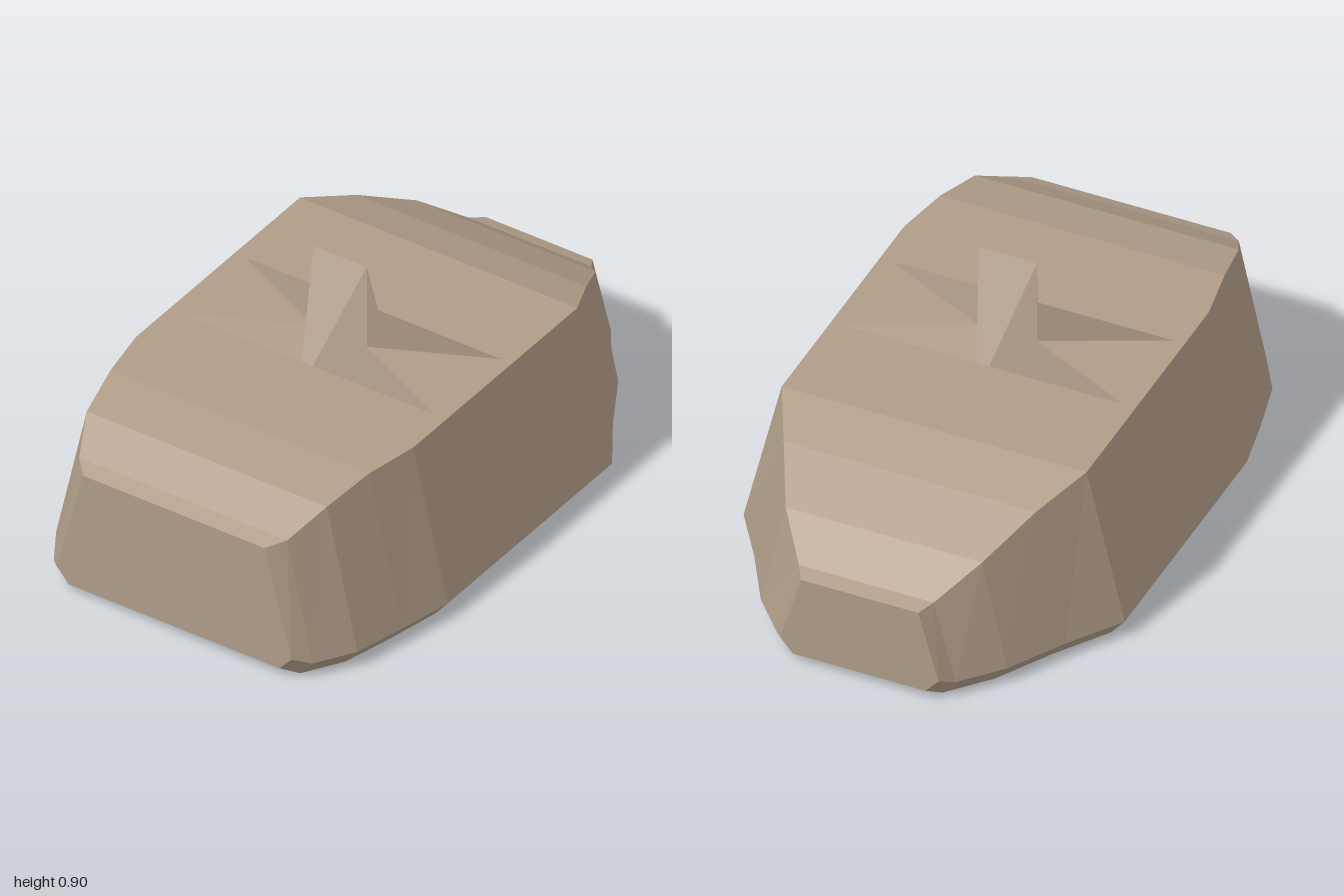
import * as THREE from 'three';

const material = new THREE.MeshStandardMaterial({
  color: 0xb09c88, flatShading: true, side: THREE.DoubleSide,
});
const smoothMaterial = new THREE.MeshStandardMaterial({ color: 0xb09c88, side: THREE.DoubleSide });

// Hull cross-sections, front to back: z, deck half width, deck height, rim half width
const STATIONS = [
  [1, 0.34, 0.465, 0.44],
  [0.95, 0.39, 0.485, 0.485],
  [0.82, 0.45, 0.56, 0.565],
  [0.64, 0.485, 0.595, 0.61],
  [0.45, 0.52, 0.595, 0.65],
  [-0.45, 0.52, 0.595, 0.65],
  [-0.63, 0.43, 0.535, 0.53],
  [-0.82, 0.335, 0.44, 0.42],
  [-0.95, 0.23, 0.34, 0.305],
  [-1, 0.2, 0.325, 0.27],
];

function createHull() {
  const positions = [], index = [];
  for (const [z, deckX, deckY, rimX] of STATIONS) {
    const lift = Math.abs(z) === 1 ? 0.03 : 0; // chamfered lower edge at both ends
    const baseX = rimX - 0.045, rimY = 0.055 + lift * 0.85;
    const side = [[baseX, lift], [rimX, rimY], [deckX, deckY]];
    const ring = [...side, ...side.map(([x, y]) => [-x, y]).reverse()];
    ring.forEach(([x, y]) => positions.push(x, y, z));
  }
  // Skin between neighbouring sections
  for (let i = 0; i < STATIONS.length - 1; i++) {
    for (let k = 0; k < 6; k++) {
      const a = i * 6 + k, b = i * 6 + (k + 1) % 6;
      index.push(a, a + 6, b + 6, a, b + 6, b);
    }
  }
  // End caps
  const last = (STATIONS.length - 1) * 6;
  for (let k = 1; k < 5; k++) {
    index.push(0, k, k + 1, last, last + k + 1, last + k);
  }
  const geometry = new THREE.BufferGeometry();
  geometry.setAttribute('position', new THREE.Float32BufferAttribute(positions, 3));
  geometry.setIndex(index);
  geometry.computeVertexNormals();
  const mesh = new THREE.Mesh(geometry, material);
  mesh.name = 'hull';
  return mesh;
}

// A four-cornered panel split along b-d, lit with one average normal
function createPanel(name, a, b, c, d) {
  const normal = c.clone().sub(a).cross(d.clone().sub(b)).normalize();
  const flip = normal.y < 0;
  if (flip) normal.negate();
  const corners = [a, b, c, d];
  const geometry = new THREE.BufferGeometry().setFromPoints(corners);
  geometry.setAttribute('normal', new THREE.Float32BufferAttribute(
    corners.flatMap(() => normal.toArray()), 3));
  geometry.setIndex(flip ? [a, b, c, d] && [0, 3, 1, 1, 3, 2] : [0, 1, 3, 1, 2, 3]);
  const mesh = new THREE.Mesh(geometry, smoothMaterial);
  mesh.name = name;
  return mesh;
}

// Ridge that narrows downwards, with four flat pointed arms on the deck
function createFin() {
  const fin = new THREE.Group();
  fin.name = 'fin';
  const deck = 0.002, height = 0.305, halfDepth = 0.18;
  for (const sz of [1, -1]) {
    const P = (x, y, z) => new THREE.Vector3(x, y, z * sz);
    const face = [P(-0.1, height, 0), P(-0.02, deck, halfDepth),
      P(0.02, deck, halfDepth), P(0.1, height, 0)];
    if (sz < 0) face.reverse();
    fin.add(createPanel('finFace', ...face));
    for (const sx of [1, -1]) {
      const top = P(0.1 * sx, height, 0), inner = P(0.02 * sx, deck, halfDepth);
      const tip = P(0.48 * sx, deck, halfDepth), foot = P(0.1 * sx, deck, 0);
      // Mirrored copies swap the order to keep facing outward
      fin.add(sx * sz > 0
        ? createPanel('finArm', top, inner, tip, foot)
        : createMirroredArm(top, inner, tip, foot));
    }
  }
  fin.position.set(0, 0.595, 0.09);
  return fin;
}

function createMirroredArm(top, inner, tip, foot) {
  // Same split (inner to foot), opposite winding
  return createPanel('finArm', top, foot, tip, inner);
}

export function createModel() {
  const model = new THREE.Group();
  model.name = 'model';
  model.add(createHull(), createFin());
  return model;
}
